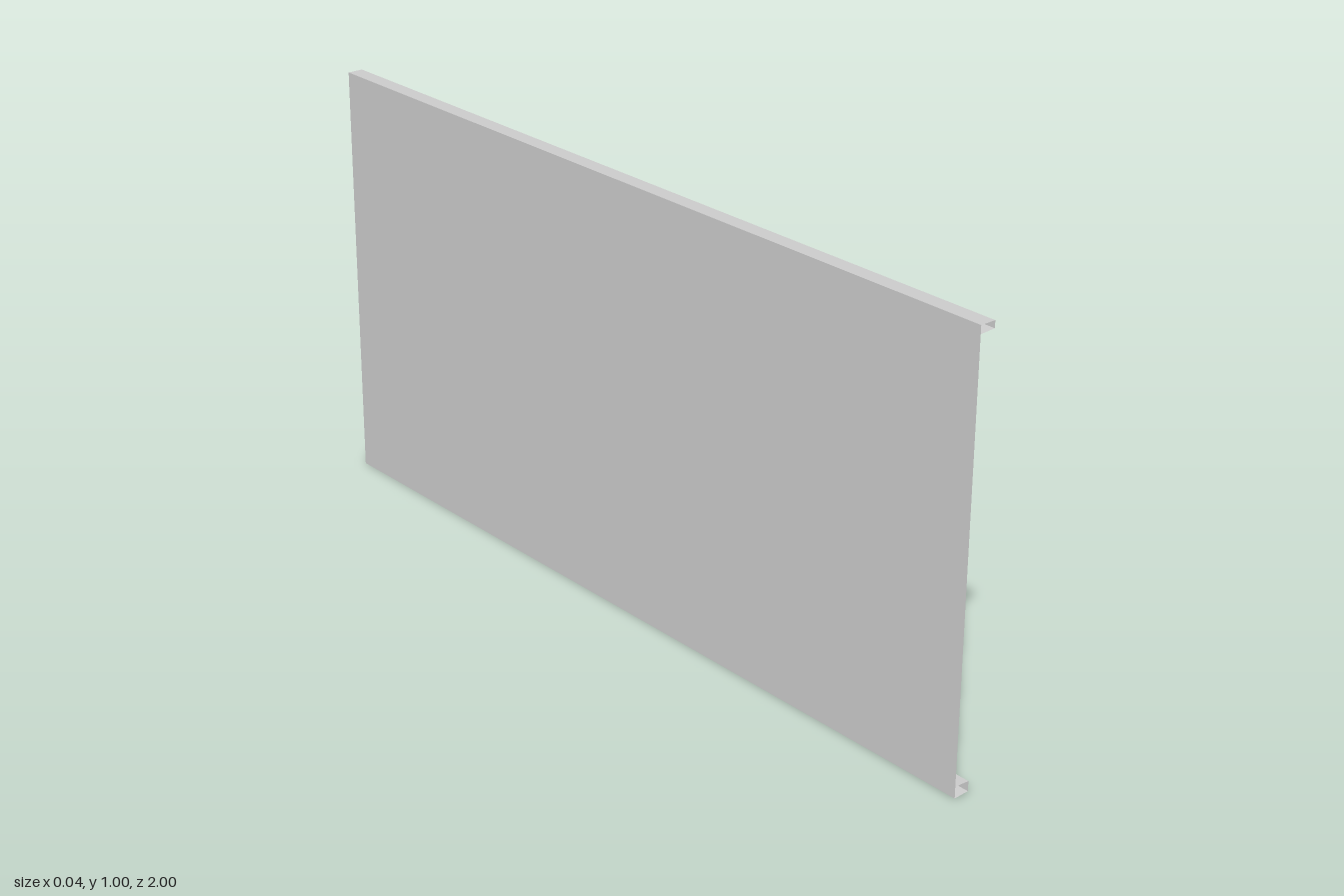
import * as THREE from 'three';

const BACK = -0.0185, FRONT = 0.0185;   // depth of the panel in x
const LOW = 0.027, HIGH = 0.982;        // ends of the corrugated sheet in y
const RIBS = 16, PITCH = 2 / RIBS, SLOPE = 0.025;

const material = new THREE.MeshStandardMaterial({
  color: 0xcccccc, flatShading: true, side: THREE.DoubleSide,
});

// Thin sheet spanned between two copies of an open line of points
function sheet(name, start, end) {
  const positions = [];
  for (let i = 0; i < start.length - 1; i++) {
    const [a, b, c, d] = [start[i], start[i + 1], end[i + 1], end[i]];
    positions.push(...a, ...b, ...c, ...a, ...c, ...d);
  }
  const geometry = new THREE.BufferGeometry();
  geometry.setAttribute('position', new THREE.Float32BufferAttribute(positions, 3));
  geometry.computeVertexNormals();
  const mesh = new THREE.Mesh(geometry, material);
  mesh.name = name;
  return mesh;
}

// Folded channel: an (x, y) section running along z
const rail = (name, section) => sheet(
  name,
  section.map(([x, y]) => [x, y, 1]),
  section.map(([x, y]) => [x, y, -1]),
);

export function createModel() {
  const group = new THREE.Group();
  group.name = 'corrugatedPanel';

  // Flat back sheet
  group.add(rail('backSheet', [[BACK, 1], [BACK, 0]]));

  // Corrugated sheet: flat-topped ribs meeting in sharp valleys
  const wave = [[BACK, 1]];
  for (let i = 0; i < RIBS; i++) {
    const z = 1 - i * PITCH;
    wave.push([0, z - SLOPE], [0, z - PITCH + SLOPE], [BACK, z - PITCH]);
  }
  group.add(sheet(
    'corrugatedSheet',
    wave.map(([x, z]) => [x, HIGH, z]),
    wave.map(([x, z]) => [x, LOW, z]),
  ));

  // Rails: outer flange, front lip and inner flange
  group.add(rail('topRail', [[BACK, 1], [FRONT, 1], [FRONT, 0.984], [BACK, HIGH]]));
  group.add(rail('bottomRail', [[BACK, 0], [FRONT, 0.002], [FRONT, 0.025], [BACK, LOW]]));

  return group;
}
